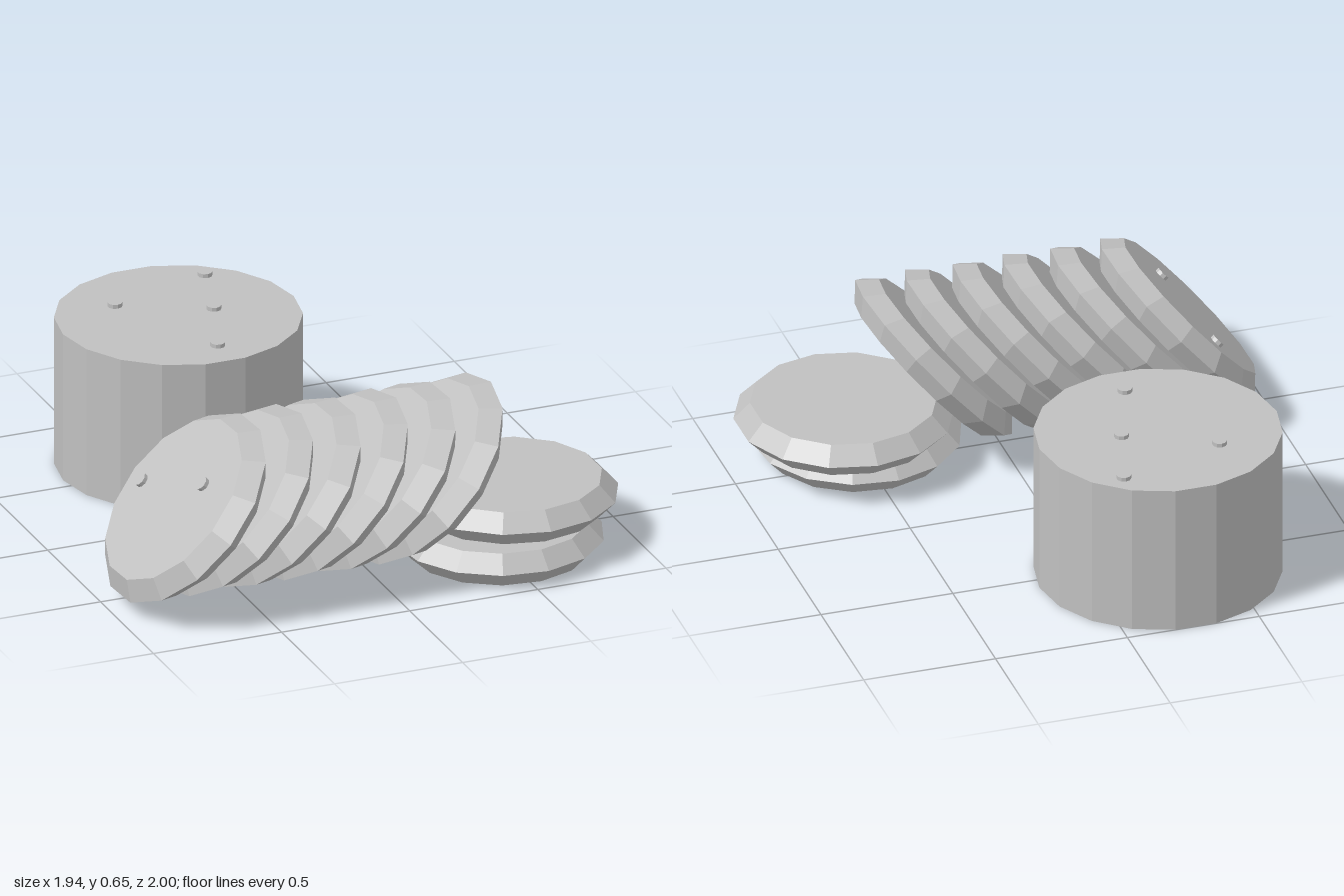
import * as THREE from 'three';

const HALF = 0.0625; // half thickness of a disc
const SIDES = 14;
const STEP = (Math.PI * 2) / SIDES;

export function createModel() {
  const model = new THREE.Group();
  model.name = 'discsAndDrum';
  const grey = new THREE.MeshStandardMaterial({ color: 0xc0c0c0, flatShading: true });
  grey.name = 'light grey';

  // disc with a sharp, bevelled rim
  function disc(name, radius, spin) {
    const r = radius * 0.85;
    const profile = [[0, -HALF], [r, -HALF], [radius, 0], [r, HALF], [0, HALF]]
      .map(([x, y]) => new THREE.Vector2(x, y));
    const group = new THREE.Group();
    group.name = name;
    const body = new THREE.Mesh(new THREE.LatheGeometry(profile, SIDES), grey);
    body.name = name + 'Body';
    body.rotation.y = spin;
    group.add(body);
    model.add(group);
    return group;
  }

  // small round stud sitting on a face
  function stud(parent, x, y, z) {
    const mesh = new THREE.Mesh(new THREE.CylinderGeometry(0.027, 0.027, 0.03, 10), grey);
    mesh.name = 'stud';
    mesh.position.set(x, y, z);
    parent.add(mesh);
  }

  // upright drum with studs on its top
  const drum = new THREE.Group();
  drum.name = 'drum';
  drum.position.set(-0.26, 0, -0.556);
  const drumBody = new THREE.Mesh(new THREE.CylinderGeometry(0.45, 0.45, 0.575, 18), grey);
  drumBody.name = 'drumBody';
  drumBody.position.y = 0.2875;
  drumBody.rotation.y = Math.PI / 2;
  drum.add(drumBody);
  for (const [x, z] of [[-0.18, -0.164], [0.225, -0.294], [0.14, -0.004], [0.027, 0.306]]) {
    stud(drum, x, 0.575, z);
  }
  model.add(drum);

  // row of six leaning discs
  const row = [];
  for (let i = 0; i < 6; i++) {
    const leaning = disc('leaningDisc' + (i + 1), 0.4, i % 2 ? STEP / 2 : STEP * 0.1);
    leaning.position.set(-0.7 + 0.185 * i, 0.35, 0.575);
    leaning.rotation.z = THREE.MathUtils.degToRad(48);
    row.push(leaning);
  }
  stud(row[0], -0.03, HALF, -0.245);
  stud(row[0], 0.115, HALF, 0.1);
  stud(row[5], 0.137, -HALF, 0);

  // two discs lying flat, one on the other
  disc('lowerFlatDisc', 0.386, 0.1).position.set(0.505, HALF + 0.003, 0.616);
  disc('upperFlatDisc', 0.4, 0).position.set(0.575, HALF * 3 + 0.005, 0.545);

  return model;
}
